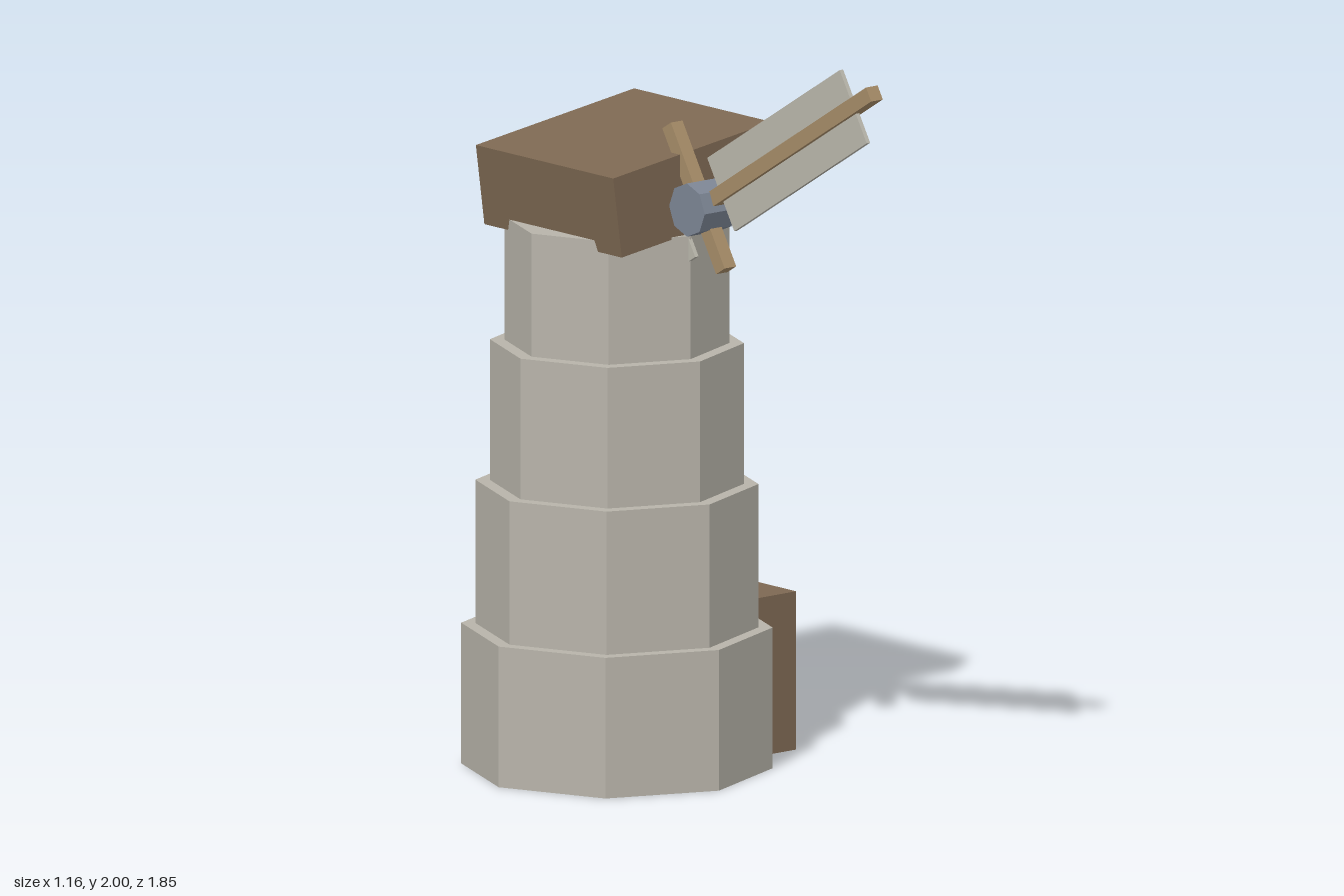
import * as THREE from 'three';

const material = (name, color) => {
  const m = new THREE.MeshStandardMaterial({ color, flatShading: true });
  m.name = name;
  return m;
};

export function createModel() {
  const stone = material('stone', 0xb7b3a9);
  const darkWood = material('darkWood', 0x7d6852);
  const lightWood = material('lightWood', 0xa58b67);
  const iron = material('iron', 0x7c8594);
  const canvas = material('canvas', 0xb9b6ab);

  const model = new THREE.Group();
  model.name = 'ruinedWindmill';

  const add = (parent, name, geometry, mat, x, y, z) => {
    const mesh = new THREE.Mesh(geometry, mat);
    mesh.name = name;
    mesh.position.set(x, y, z);
    parent.add(mesh);
    return mesh;
  };
  const box = (parent, name, mat, w, h, d, x, y, z) =>
    add(parent, name, new THREE.BoxGeometry(w, h, d), mat, x, y, z);

  const cx = -0.175, cz = -0.113;

  // Stepped octagonal tower
  const levels = [0, 0.375, 0.757, 1.132, 1.46];
  [0.407, 0.37, 0.332, 0.294].forEach((r, i) => {
    const h = levels[i + 1] - levels[i];
    add(model, 'towerTier' + (i + 1), new THREE.CylinderGeometry(r, r, h, 8), stone, cx, levels[i] + h / 2, cz);
  });

  // Slipped roof block
  const roof = box(model, 'roof', darkWood, 0.55, 0.217, 0.548, -0.137, 1.575, cz);
  roof.rotation.z = 0.136;

  // Entrance block on the side
  box(model, 'entrance', darkWood, 0.31, 0.422, 0.306, 0.155, 0.211, cz);

  // Rotor: hub, one full spar with two sails, and a broken cross spar
  const rotor = new THREE.Group();
  rotor.name = 'rotor';
  rotor.position.set(cx, 1.545, 0.23);
  rotor.rotation.x = -0.545;
  model.add(rotor);

  const hub = add(model, 'hub', new THREE.CylinderGeometry(0.071, 0.071, 0.11, 8).rotateZ(Math.PI / 2), iron, cx, 1.545, 0.23);
  hub.updateMatrix();

  box(rotor, 'mainSpar', lightWood, 0.04, 0.04, 1.6, 0, 0, 0);
  box(rotor, 'brokenSpar', lightWood, 0.04, 0.414, 0.04, 0, 0.028, 0);
  for (const s of [1, -1])
    box(rotor, s > 0 ? 'frontSail' : 'backSail', canvas, 0.012, 0.208, 0.618, 0, 0, s * 0.4);

  // Fallen blade lying behind the tower
  const fallen = new THREE.Group();
  fallen.name = 'fallenBlade';
  fallen.position.set(0.312, 0.08, -0.692);
  fallen.rotation.y = 0.695;
  model.add(fallen);
  box(fallen, 'fallenSpar', lightWood, 0.654, 0.04, 0.04, 0, 0, 0);
  box(fallen, 'fallenSail', canvas, 0.482, 0.012, 0.198, 0, 0.0125, 0);

  return model;
}
